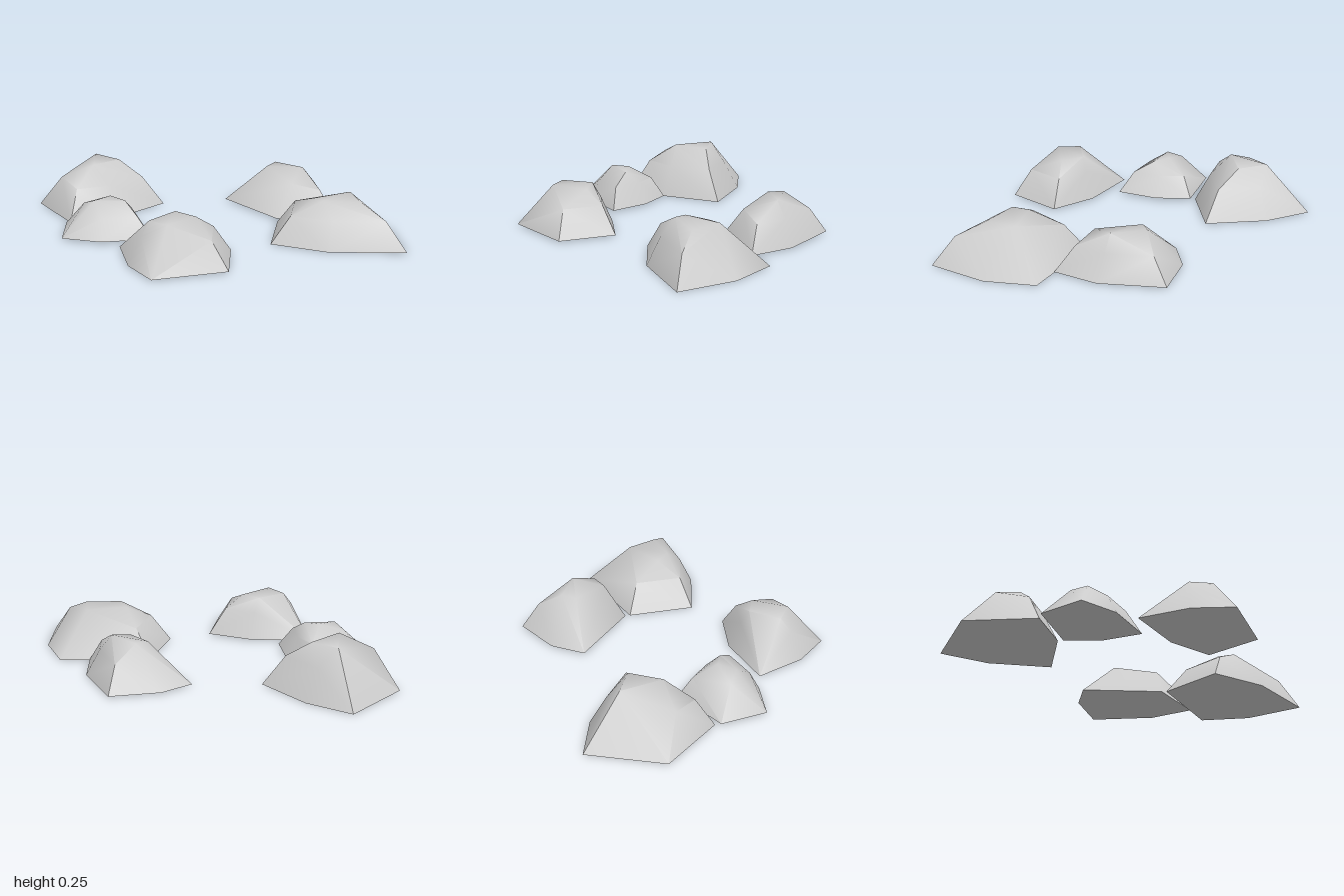
import * as THREE from 'three';
import { toCreasedNormals } from 'three/addons/utils/BufferGeometryUtils.js';
import { ConvexGeometry } from 'three/addons/geometries/ConvexGeometry.js';

const material = new THREE.MeshStandardMaterial({ color: 0xcccccc });

// A stone: hull of a flat base outline [x, z], a few crown points [x, y, z],
// and a rounded shoulder above each base corner listed in shoulders
function makeStone(name, baseY, outline, crown, shoulders) {
  const base = outline.map(([x, z]) => new THREE.Vector3(x, baseY, z));
  const top = crown.map((p) => new THREE.Vector3(...p));
  const centre = new THREE.Vector3();
  top.forEach((p) => centre.addScaledVector(p, 1 / top.length));
  const bulges = shoulders.map((i) => {
    const p = base[i].clone().lerp(centre, 0.3);
    p.y = centre.y * 0.67;
    return p;
  });
  // Softened crown, sharp rim round the underside
  const hull = new ConvexGeometry([...base, ...top, ...bulges]);
  const mesh = new THREE.Mesh(toCreasedNormals(hull, 1.0), material);
  mesh.name = name;
  return mesh;
}

export function createModel() {
  const group = new THREE.Group();
  group.name = 'stones';

  group.add(makeStone('backStone', 0,
    [[-0.29, -0.96], [0.11, -1], [0.16, -0.75], [0.12, -0.43], [-0.2, -0.47], [-0.42, -0.61]],
    [[-0.18, 0.25, -0.66], [-0.01, 0.245, -0.8], [0, 0.24, -0.64], [-0.28, 0.18, -0.8]],
    [2, 3, 4, 5]));

  group.add(makeStone('smallStone', 0.01,
    [[-0.45, -0.61], [-0.19, -0.44], [-0.24, -0.26], [-0.37, -0.09], [-0.56, -0.27], [-0.64, -0.46]],
    [[-0.47, 0.18, -0.39], [-0.37, 0.185, -0.37], [-0.36, 0.175, -0.28], [-0.46, 0.15, -0.47]],
    [1, 2, 3, 4]));

  group.add(makeStone('rightStone', 0.006,
    [[-0.54, -0.16], [-0.325, 0.07], [-0.235, 0.3], [-0.475, 0.47], [-0.78, 0.25], [-0.71, 0.045]],
    [[-0.6, 0.215, 0.2], [-0.59, 0.21, 0.08], [-0.42, 0.215, 0.1], [-0.41, 0.21, 0.22]],
    [1, 2, 3, 5]));

  group.add(makeStone('leftStone', 0.006,
    [[0.375, -0.2], [0.56, -0.18], [0.775, -0.04], [0.655, 0.27], [0.49, 0.44], [0.28, 0.21]],
    [[0.56, 0.215, 0.18], [0.56, 0.212, 0], [0.48, 0.205, 0], [0.4, 0.17, 0.22]],
    [2, 3, 4]));

  group.add(makeStone('frontStone', 0,
    [[0.26, 0.23], [0.6, 0.545], [0.495, 0.785], [0.27, 1], [0.04, 0.69], [-0.04, 0.4]],
    [[0.15, 0.215, 0.58], [0.18, 0.205, 0.5], [0.37, 0.21, 0.6], [0.27, 0.205, 0.73]],
    [0, 3, 4, 5]));

  return group;
}
